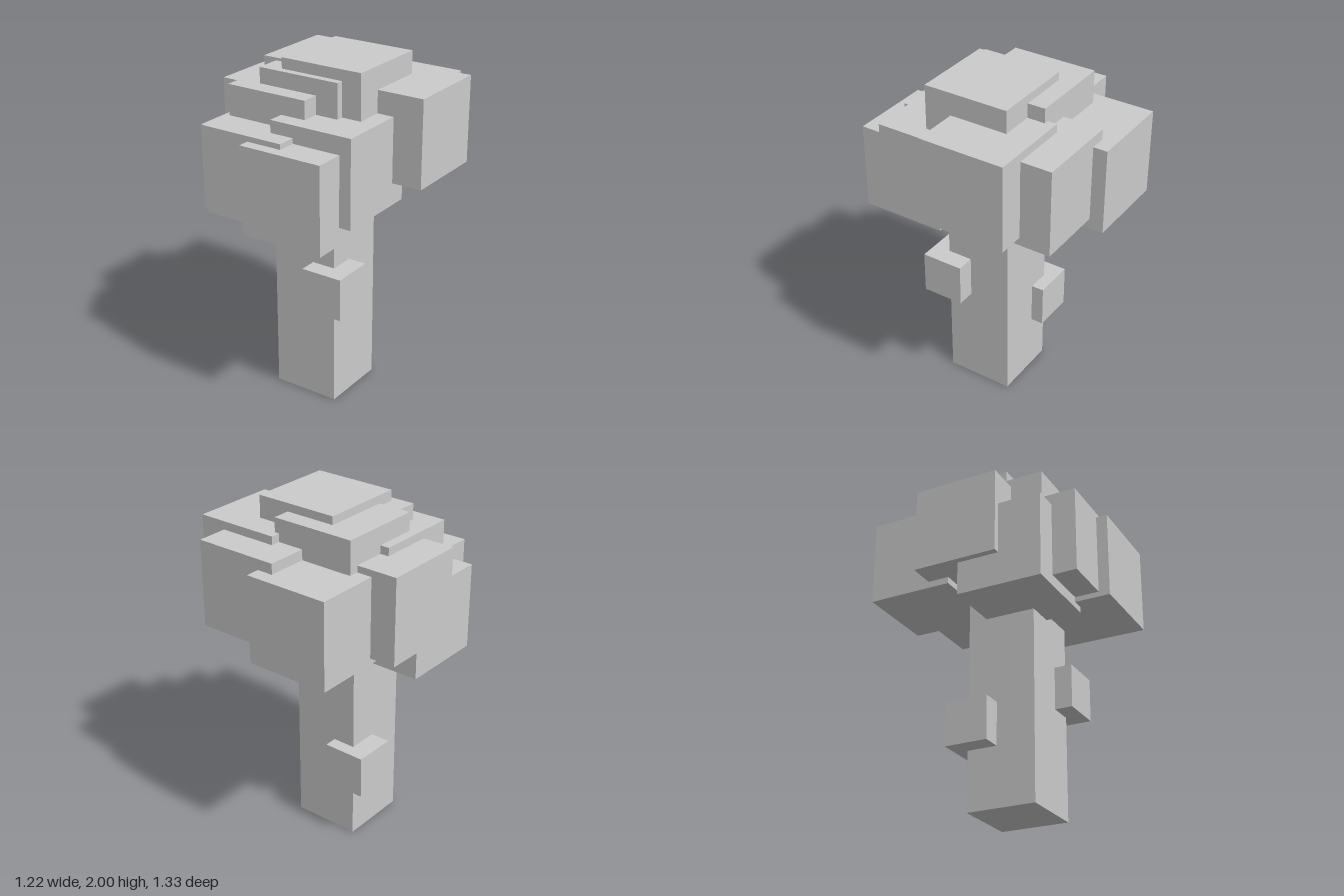
import * as THREE from 'three';

const material = new THREE.MeshStandardMaterial({ color: 0xcccccc, flatShading: true });

export function createModel() {
  const tree = new THREE.Group();
  tree.name = 'blockTree';

  function addBlock(name, width, height, depth, [x, y, z]) {
    const mesh = new THREE.Mesh(new THREE.BoxGeometry(width, height, depth), material);
    mesh.name = name;
    mesh.position.set(x, y, z);
    tree.add(mesh);
  }

  // Square trunk, running up into the foliage
  addBlock('trunk', 0.4, 1.4, 0.4, [-0.036, 0.7, 0.052]);

  // Branch stubs half sunk into the trunk
  const stubs = [[0.147, 0.727, 0.229], [-0.226, 0.469, -0.098]];
  stubs.forEach((p, i) => addBlock(`branchStub${i + 1}`, 0.25, 0.25, 0.25, p));

  // Overlapping foliage cubes, by centre
  const foliage = [
    [-0.206, 1.512, -0.417], [0.199, 1.572, -0.335], [0.356, 1.62, -0.155],
    [-0.36, 1.55, -0.043], [-0.116, 1.703, -0.1], [0.081, 1.75, 0.004],
    [-0.17, 1.597, 0.148], [-0.035, 1.688, 0.046], [0.18, 1.492, 0.243],
    [-0.322, 1.356, 0.209], [-0.177, 1.421, 0.35], [0.111, 1.391, 0.415],
  ];
  foliage.forEach((p, i) => addBlock(`foliageCube${i + 1}`, 0.5, 0.5, 0.5, p));

  return tree;
}
